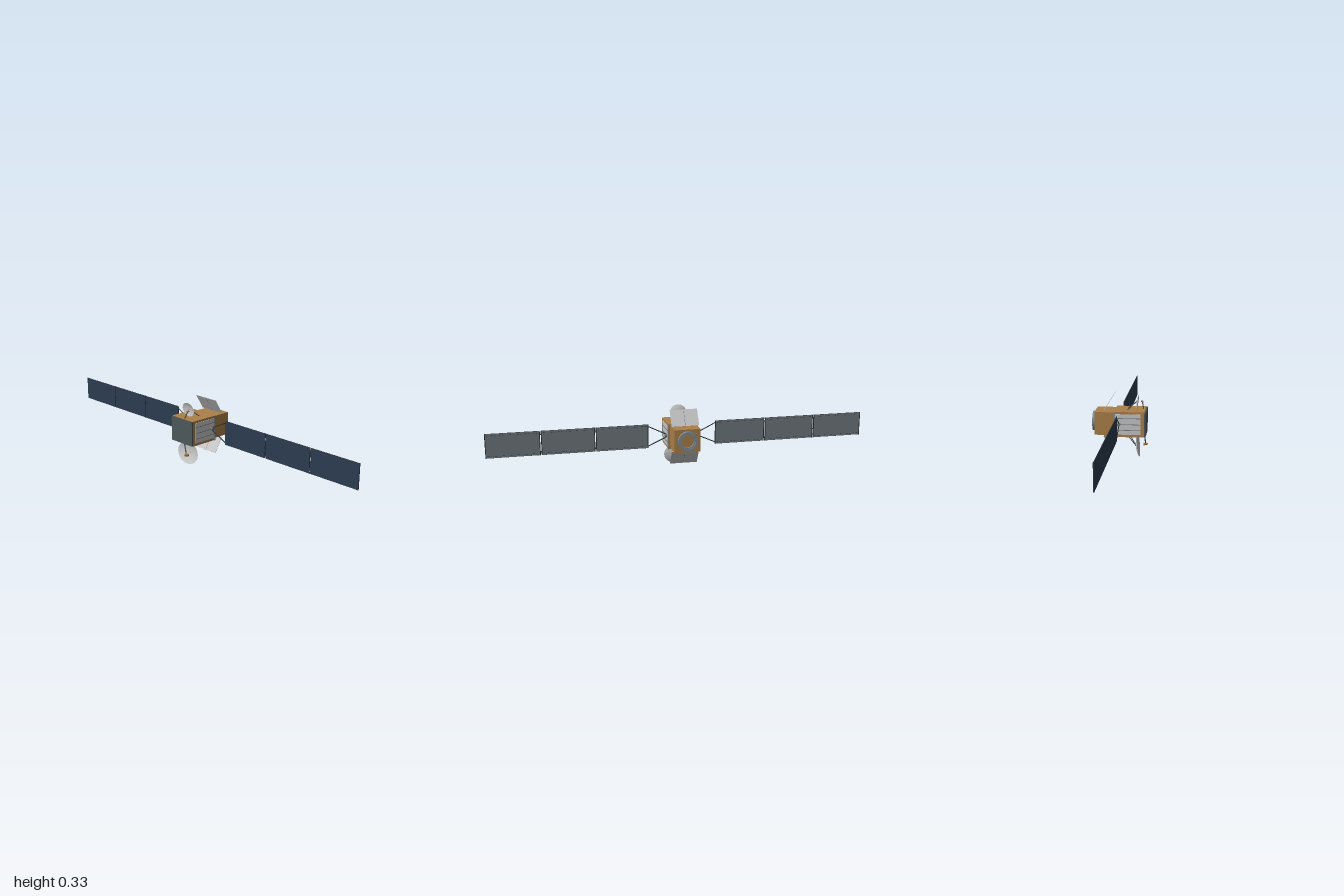
import * as THREE from 'three';

const mat = (name, color, side = THREE.FrontSide) => {
  const m = new THREE.MeshStandardMaterial({ color, side });
  m.name = name;
  return m;
};

export function createModel() {
  const gold = mat('gold foil', 0xaa8049);
  const light = mat('light grey', 0xc6c6c6);
  const dishGrey = mat('dish grey', 0xc6c6c6, THREE.DoubleSide);
  const slate = mat('slate', 0x4c5659);
  const navy = mat('solar cell navy', 0x2c3b50);
  const panelBack = mat('panel back grey', 0x6e767a);
  const steel = mat('blue grey metal', 0x7f8b96);
  const dark = mat('dark strut', 0x2e3234);

  const root = new THREE.Group();
  root.name = 'satellite';
  const CY = 0.192; // height of the body axis

  const add = (name, geo, material, x = 0, y = 0, z = 0, parent = root) => {
    const m = new THREE.Mesh(geo, material);
    m.name = name;
    m.position.set(x, y, z);
    parent.add(m);
    return m;
  };
  const box = (name, material, w, h, d, x, y, z, parent) =>
    add(name, new THREE.BoxGeometry(w, h, d), material, x, y, z, parent);
  const strut = (name, material, a, b, r, r2 = r) => {
    const p = new THREE.Vector3(...a), q = new THREE.Vector3(...b);
    const m = add(name, new THREE.CylinderGeometry(r2, r, p.distanceTo(q), 10), material);
    m.position.copy(p).add(q).multiplyScalar(0.5);
    m.quaternion.setFromUnitVectors(new THREE.Vector3(0, 1, 0), q.sub(p).normalize());
    return m;
  };

  // Body
  box('mainBody', gold, 0.154, 0.132, 0.156, 0, CY - 0.001, 0.052);
  box('frontPanel', slate, 0.152, 0.128, 0.007, 0, CY - 0.001, 0.1335);
  box('rearBody', gold, 0.136, 0.12, 0.104, 0, CY, -0.076);
  for (const s of [-1, 1]) {
    // Side radiator with horizontal ribs
    box('sideRadiator', light, 0.004, 0.107, 0.132, s * 0.078, CY, 0.046);
    for (const y of [-0.03, 0, 0.032])
      box('radiatorRib', panelBack, 0.004, 0.003, 0.13, s * 0.08, CY + y, 0.046);
    box('cornerPost', steel, 0.006, 0.134, 0.006, s * 0.077, CY - 0.001, -0.023);
  }

  // Engine ring, open in the middle
  const ringProfile = [[0.033, 0], [0.033, 0.009], [0.041, 0.009], [0.041, 0.014],
    [0.051, 0.014], [0.051, 0]].map(p => new THREE.Vector2(...p));
  const ringGeo = new THREE.LatheGeometry(ringProfile.reverse(), 40).toNonIndexed();
  ringGeo.computeVertexNormals();
  const ringMat = mat('ring metal', 0x7f8b96, THREE.DoubleSide);
  add('engineRing', ringGeo, ringMat, 0, CY, -0.128).rotation.x = -Math.PI / 2;

  // Tilted thermal flaps above and below the rear body, two leaves each
  for (const v of [-1, 1]) {
    const flap = new THREE.Group();
    flap.name = v > 0 ? 'upperFlap' : 'lowerFlap';
    flap.position.set(0, CY + v * 0.1045, -0.0565);
    flap.rotation.x = v * Math.atan2(0.047, 0.077);
    root.add(flap);
    for (const s of [-1, 1])
      box('flapLeaf', light, 0.071, 0.09, 0.0018, s * 0.0365, 0, 0, flap);
    box('flapSeam', panelBack, 0.002, 0.09, 0.001, 0, 0, 0, flap);
  }

  // Solar wings
  const panelW = 0.271, panelH = 0.126, PY = 0.194;
  for (const s of [-1, 1]) {
    const hub = add('wingHub', new THREE.CylinderGeometry(0.009, 0.009, 0.014, 20),
      panelBack, s * 0.084, CY, 0);
    hub.rotation.z = Math.PI / 2;
    for (const v of [-1, 1])
      strut('wingYoke', dark, [s * 0.082, CY + v * 0.007, 0],
        [s * 0.18, PY + v * 0.053, 0], 0.0025);
    for (let i = 0; i < 3; i++) {
      const wing = new THREE.Group();
      wing.name = 'solarPanel';
      wing.position.set(s * (0.178 + panelW / 2 + i * 0.2755), PY, 0);
      root.add(wing);
      box('panelFrame', dark, panelW, panelH, 0.003, 0, 0, 0, wing);
      box('solarCells', navy, panelW - 0.001, panelH - 0.001, 0.001, 0, 0, 0.0016, wing);
      box('panelRear', panelBack, panelW - 0.001, panelH - 0.001, 0.001, 0, 0, -0.0016, wing);
      for (const e of [-1, 1]) {
        box('panelEdgeBar', dark, 0.004, panelH, 0.002, e * (panelW / 2 - 0.002), 0, -0.002, wing);
        // Broken line of fasteners along the rear
        for (let k = 0; k < 14; k++)
          box('rearDash', dark, 0.01, 0.0015, 0.001,
            (k - 6.5) * 0.0185, e * 0.053, -0.002, wing);
      }
      if (i < 2) for (const e of [-1, 1])
        box('panelHinge', dark, 0.008, 0.006, 0.002, s * (panelW / 2 + 0.002), e * 0.045, -0.001, wing);
    }
  }

  // Dish antennas with rear struts, feed arm and feed horn
  const dish = (name, o) => {
    const pts = [];
    for (let i = 0; i <= 10; i++) {
      const t = i / 10;
      pts.push(new THREE.Vector2(Math.max(t, 0.0001), o.depth * t * t));
    }
    const geo = new THREE.LatheGeometry(pts, 40);
    geo.scale(o.rx, 1, o.ry);
    add(name, geo, dishGrey, 0, o.y, o.z).rotation.x = o.tilt;
    for (const s of [-1, 1])
      strut(name + 'Strut', slate, [s * 0.003, o.y, o.z], [s * 0.026, o.baseY, 0.037], 0.0022);
    strut(name + 'FeedArm', slate, o.armBase, o.feed, 0.003);
    const [x, y, z] = o.feed, h = o.feedLen / 2;
    const dir = new THREE.Vector3(0, o.feedTilt, -1).normalize().multiplyScalar(h);
    strut(name + 'FeedHorn', gold, [x, y - dir.y, z - dir.z], [x, y + dir.y, z + dir.z],
      o.feedR * 0.75, o.feedR);
  };
  dish('lowerDish', {
    y: 0.0625, z: 0.082, rx: 0.075, ry: 0.059, depth: 0.013, tilt: 1.45, baseY: 0.127,
    armBase: [0.008, 0.128, 0.126], feed: [0.027, 0.066, 0.13], feedLen: 0.022, feedR: 0.008, feedTilt: -0.15,
  });
  dish('upperDish', {
    y: 0.297, z: 0.083, rx: 0.042, ry: 0.036, depth: 0.008, tilt: 1.68, baseY: 0.256,
    armBase: [0.005, 0.255, 0.121], feed: [0.019, 0.295, 0.112], feedLen: 0.014, feedR: 0.005, feedTilt: 0.15,
  });

  return root;
}
